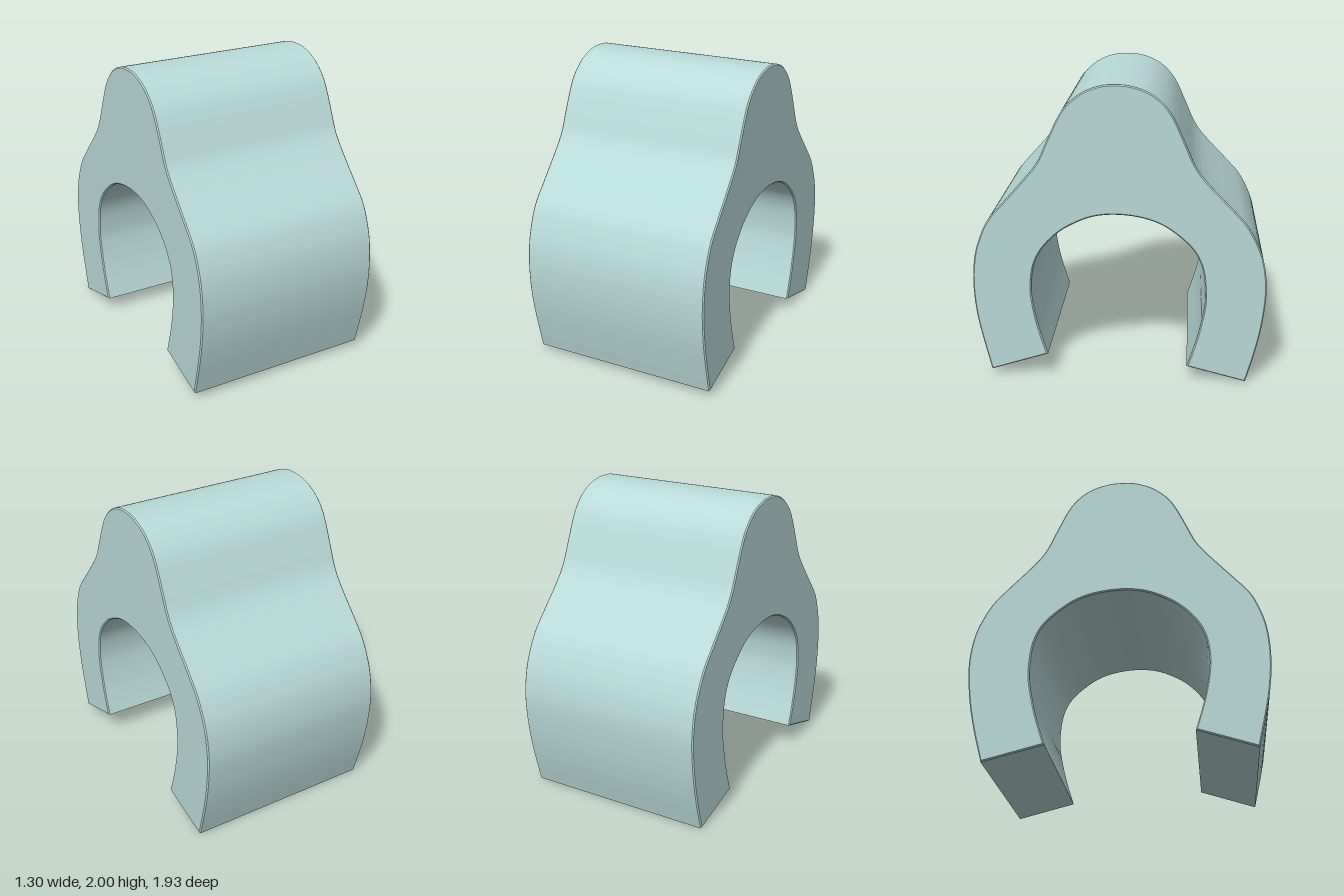
import * as THREE from 'three';
import { toCreasedNormals } from 'three/addons/utils/BufferGeometryUtils.js';

const toPoints = (list) => list.map(([z, y]) => new THREE.Vector2(z, y));

export function createModel() {
  const group = new THREE.Group();
  group.name = 'clip';
  const width = 1.304, bevel = 0.008;

  // Outer outline (z, y): front foot, over the crown, down to the back foot
  const outer = toPoints([
    [0.862, 0.045], [0.94, 0.39], [0.965, 0.64], [0.95, 0.85], [0.904, 1.004],
    [0.85, 1.11], [0.755, 1.22], [0.6, 1.395], [0.52, 1.5], [0.464, 1.622],
    [0.4, 1.76], [0.347, 1.847], [0.278, 1.914], [0.204, 1.961], [0.11, 1.993],
    [0.02, 2], [-0.07, 1.993], [-0.17, 1.961], [-0.25, 1.91], [-0.315, 1.84],
    [-0.363, 1.757], [-0.427, 1.614], [-0.485, 1.487], [-0.564, 1.38],
    [-0.74, 1.195], [-0.835, 1.084], [-0.914, 0.93], [-0.951, 0.787],
    [-0.962, 0.628], [-0.942, 0.416], [-0.903, 0.22], [-0.845, 0.002],
  ]);

  // Inner opening (z, y): back foot, round the hollow, down to the front foot
  const inner = toPoints([
    [-0.453, 0.103], [-0.517, 0.31], [-0.558, 0.506], [-0.565, 0.628],
    [-0.547, 0.787], [-0.495, 0.909], [-0.405, 1.005], [-0.278, 1.094],
    [-0.135, 1.142], [0.024, 1.158], [0.167, 1.142], [0.289, 1.094],
    [0.4, 1.025], [0.5, 0.92], [0.559, 0.803], [0.58, 0.655],
    [0.57, 0.522], [0.538, 0.363], [0.48, 0.167],
  ]);

  const profile = new THREE.Shape();
  profile.moveTo(outer[0].x, outer[0].y);
  profile.splineThru(outer.slice(1));
  profile.lineTo(inner[0].x, inner[0].y);
  profile.splineThru(inner.slice(1));
  profile.closePath();

  // Extrude across the width with a fine chamfer on the side edges
  const geometry = new THREE.ExtrudeGeometry(profile, {
    depth: width - 2 * bevel,
    curveSegments: 4,
    bevelEnabled: true,
    bevelThickness: bevel,
    bevelSize: bevel,
    bevelOffset: -bevel,
    bevelSegments: 1,
  });
  geometry.translate(0, 0, bevel - width / 2);
  geometry.rotateY(-Math.PI / 2);

  const body = new THREE.Mesh(
    toCreasedNormals(geometry, 0.5),
    new THREE.MeshStandardMaterial({ color: 0xb8dad8 })
  );
  body.name = 'clipBody';
  group.add(body);
  return group;
}
